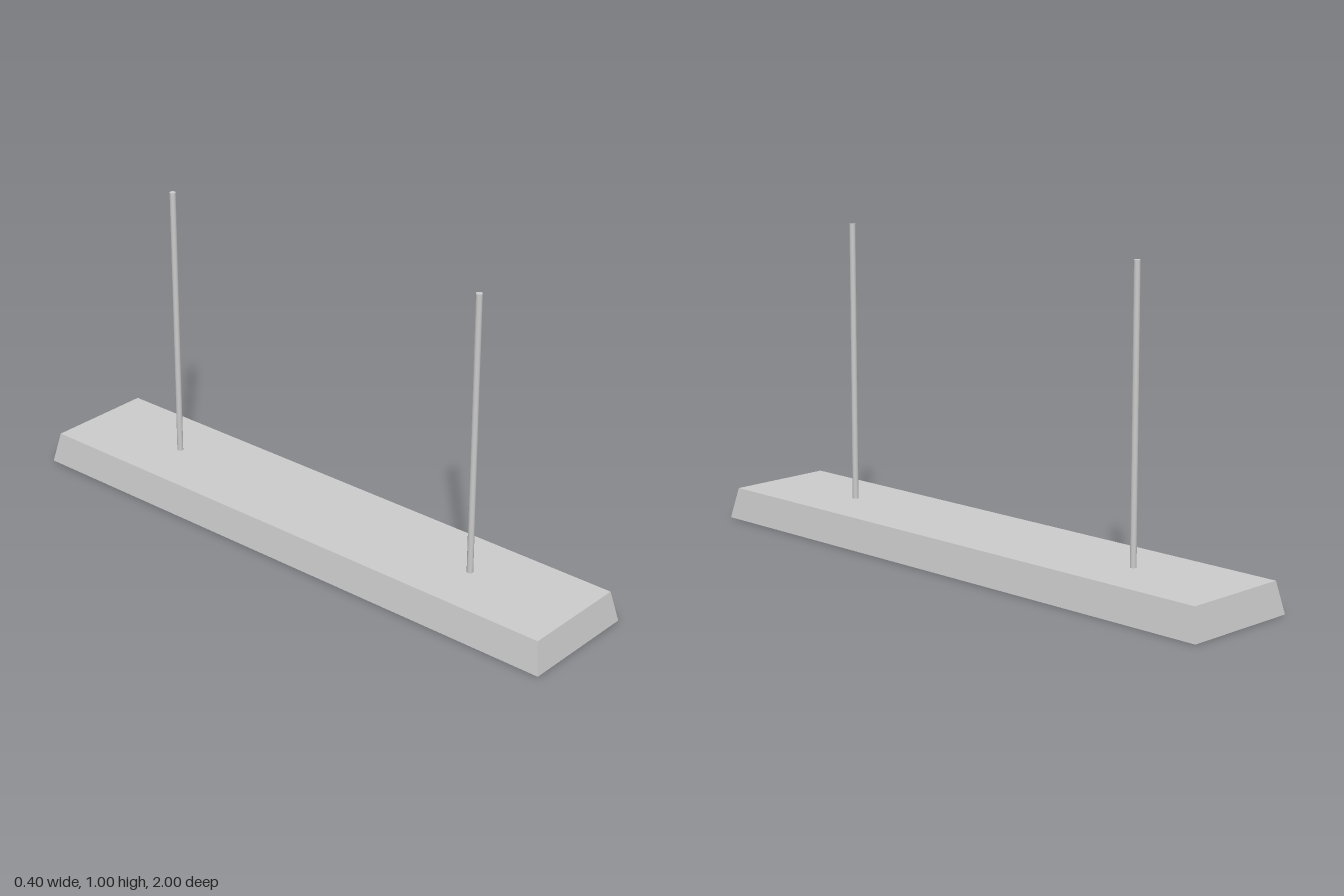
import * as THREE from 'three';

const material = new THREE.MeshStandardMaterial({ color: 0xcccccc });

// Flat-shaded solid through rectangular rings [halfX, y, halfZ], closed at both ends
function rectLoft(rings) {
  const corners = rings.map(([x, y, z]) => [[-x, y, z], [x, y, z], [x, y, -z], [-x, y, -z]]);
  const pos = [];
  const quad = (a, b, c, d) => pos.push(...a, ...b, ...c, ...a, ...c, ...d);
  for (let r = 0; r < corners.length - 1; r++) {
    const lo = corners[r], hi = corners[r + 1];
    for (let i = 0; i < 4; i++) {
      const j = (i + 1) % 4;
      quad(lo[i], lo[j], hi[j], hi[i]);
    }
  }
  const first = corners[0], last = corners[corners.length - 1];
  quad(first[3], first[2], first[1], first[0]);
  quad(...last);
  const geo = new THREE.BufferGeometry();
  geo.setAttribute('position', new THREE.Float32BufferAttribute(pos, 3));
  geo.computeVertexNormals();
  return geo;
}

export function createModel() {
  const group = new THREE.Group();
  group.name = 'hangingLamp';

  // Tapered housing: recessed underside panel, recess wall, rim, sloped sides, flat top
  const housing = new THREE.Mesh(rectLoft([
    [0.17, 0.02, 0.97],
    [0.17, 0, 0.97],
    [0.2, 0, 1],
    [0.18, 0.1, 0.98],
  ]), material);
  housing.name = 'housing';
  group.add(housing);

  // Two suspension rods
  const rodGeometry = new THREE.CylinderGeometry(0.01, 0.01, 0.9, 12);
  for (const [name, z] of [['frontRod', 0.6], ['backRod', -0.6]]) {
    const rod = new THREE.Mesh(rodGeometry, material);
    rod.name = name;
    rod.position.set(0, 0.55, z);
    group.add(rod);
  }
  return group;
}
